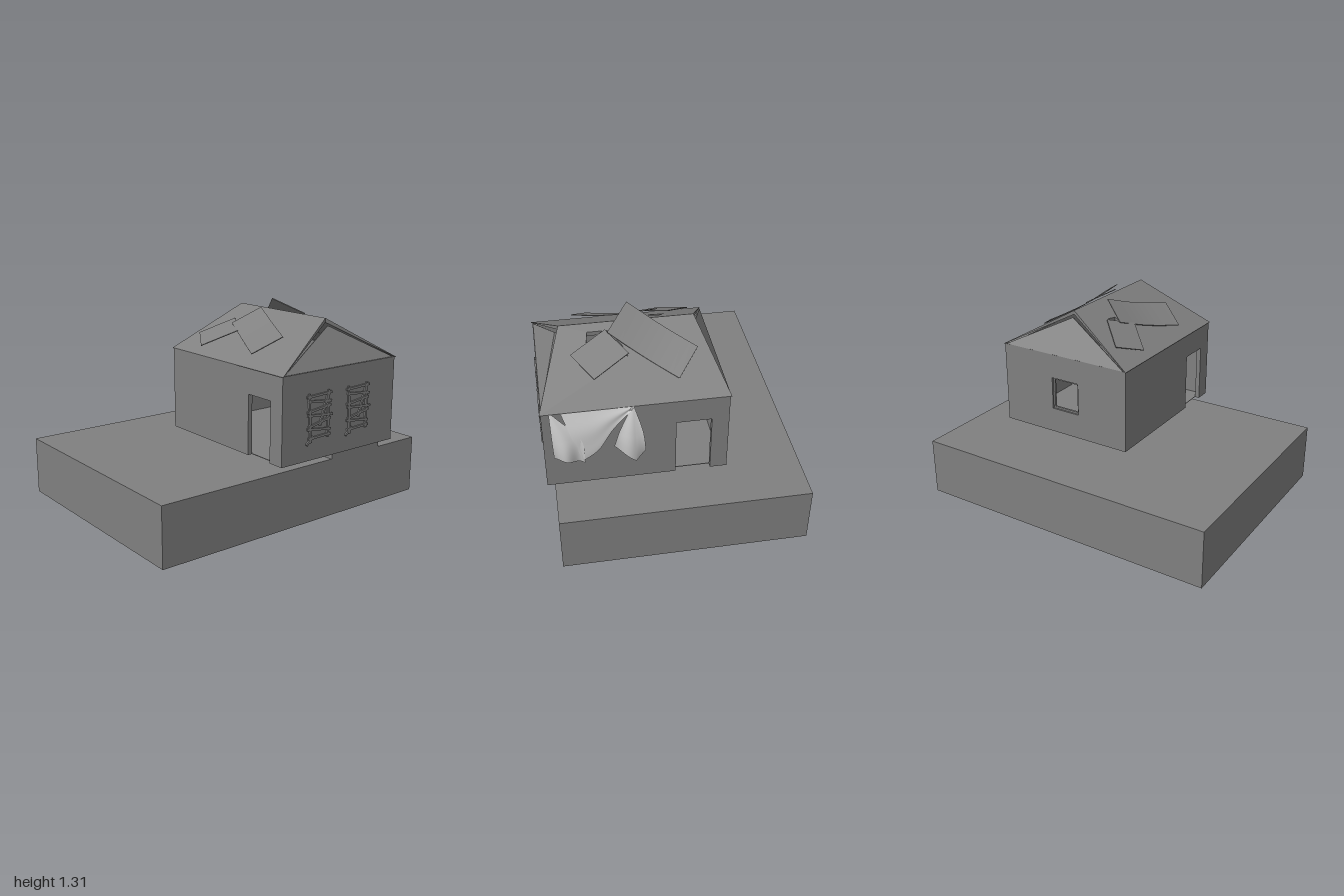
import * as THREE from 'three';

const mat = new THREE.MeshStandardMaterial({ color: 0x808080 });
const fabric = new THREE.MeshStandardMaterial({ color: 0xcccccc, side: THREE.DoubleSide });

// House limits
const X0 = -0.2, X1 = 0.73, Z0 = -0.313, Z1 = 0.77, FLOOR = 0.42, EAVE = 0.96;
const RIDGE_X = 0.265, RIDGE_Y = 1.23, PITCH = 0.575, WALL = 0.03;

function add(parent, name, geometry, material = mat) {
  const mesh = new THREE.Mesh(geometry, material);
  mesh.name = name;
  parent.add(mesh);
  return mesh;
}

// Box given by its limits
function block(parent, name, x0, x1, y0, y1, z0, z1) {
  const mesh = add(parent, name, new THREE.BoxGeometry(x1 - x0, y1 - y0, z1 - z0));
  mesh.position.set((x0 + x1) / 2, (y0 + y1) / 2, (z0 + z1) / 2);
}

const polygon = (points) => new THREE.Shape(points.map(([a, b]) => new THREE.Vector2(a, b)));
const rectangle = (a0, a1, b0, b1) => [[a0, b0], [a1, b0], [a1, b1], [a0, b1]];

// Upright wall outline extruded to the wall thickness
function wall(parent, name, outline, hole) {
  const shape = polygon(outline);
  if (hole) shape.holes.push(polygon(hole));
  return add(parent, name, new THREE.ExtrudeGeometry(shape, { depth: WALL, bevelEnabled: false }));
}

// One roof slope: plan outline (distance from ridge, z) dropped onto the pitch, cut level at the eave
function roofSlope(parent, name, side, hole) {
  const t = 0.026;
  const shape = polygon([[0, -0.18], [0.47, -0.32], [0.47, 0.778], [0, 0.622]]);
  shape.holes.push(polygon(hole));
  const geo = new THREE.ExtrudeGeometry(shape, { depth: t, bevelEnabled: false });
  const p = geo.attributes.position;
  for (let i = 0; i < p.count; i++) {
    const d = p.getX(i), z = p.getY(i), depth = p.getZ(i);
    const y = RIDGE_Y - PITCH * d - (side > 0 ? depth : t - depth);
    p.setXYZ(i, RIDGE_X + side * d, Math.max(y, 0.956), z);
  }
  geo.computeVertexNormals();
  add(parent, name, geo);
}

// Loose sheet spanned by a corner and its two neighbours, sagging along the second edge
function sheet(parent, corner, nextA, nextB, sag) {
  const o = new THREE.Vector3(...corner);
  const a = new THREE.Vector3(...nextA).sub(o), b = new THREE.Vector3(...nextB).sub(o);
  const n = a.clone().cross(b).normalize();
  const geo = new THREE.BoxGeometry(1, 1, 0.005, 1, 10, 1);
  const p = geo.attributes.position;
  for (let i = 0; i < p.count; i++) {
    const v = p.getY(i) + 0.5;
    const q = o.clone().addScaledVector(a, p.getX(i) + 0.5).addScaledVector(b, v)
      .addScaledVector(n, p.getZ(i) - sag * Math.sin(v * Math.PI));
    p.setXYZ(i, q.x, q.y, q.z);
  }
  geo.computeVertexNormals();
  add(parent, 'looseRoofSheet', geo);
}

// Cloth stretched between two edge curves of [z, y] points; bulge gives its distance off the wall, hem lowers its foot
function cloth(parent, name, edgeA, edgeB, bulge, hem = () => 0) {
  const curve = (pts) => new THREE.CatmullRomCurve3(pts.map(([z, y]) => new THREE.Vector3(0, y, z)));
  const A = curve(edgeA), B = curve(edgeB), n = 28;
  const geo = new THREE.PlaneGeometry(1, 1, n, n);
  const p = geo.attributes.position;
  for (let i = 0; i < p.count; i++) {
    const u = p.getX(i) + 0.5, v = 0.5 - p.getY(i);
    const q = A.getPoint(v).lerp(B.getPoint(v), u);
    p.setXYZ(i, X1 + 0.004 + bulge(u, v), q.y - v * v * hem(u), q.z);
  }
  geo.computeVertexNormals();
  add(parent, name, geo, fabric);
}

export function createModel() {
  const model = new THREE.Group();
  model.name = 'abandonedHouse';

  // Ground and step
  block(model, 'groundBlock', -1, 1, 0, 0.37, -0.78, 0.725);
  block(model, 'frontStep', 0.25, 0.66, 0.37, FLOOR, 0.45, 0.73);

  // Walls and floor
  const house = new THREE.Group();
  house.name = 'house';
  model.add(house);
  block(house, 'floor', X0 + WALL, X1 - WALL, FLOOR, FLOOR + 0.004, Z0 + WALL, Z1 - WALL);
  wall(house, 'frontWall', rectangle(X0, X1, FLOOR, EAVE)).position.z = Z1 - WALL;
  wall(house, 'backWall', rectangle(X0, X1, FLOOR, EAVE), rectangle(0.155, 0.355, 0.585, 0.8)).position.z = Z0;
  for (const [name, x, d0, d1] of [['leftWall', X1, -0.21, 0], ['rightWall', X0 + WALL, 0.465, 0.665]]) {
    const a = Z0 + WALL, b = Z1 - WALL;
    const side = wall(house, name, [[a, FLOOR], [d0, FLOOR], [d0, 0.8], [d1, 0.8], [d1, FLOOR], [b, FLOOR], [b, EAVE], [a, EAVE]]);
    side.rotation.y = -Math.PI / 2;
    side.position.x = x;
  }

  // Back window frame
  for (const x of [0.155, 0.343]) block(house, 'windowStile', x, x + 0.012, 0.585, 0.8, Z0 + 0.012, Z0 + 0.026);
  for (const y of [0.585, 0.788]) block(house, 'windowRail', 0.155, 0.355, y, y + 0.012, Z0 + 0.012, Z0 + 0.026);

  // Roof slopes with broken openings
  const roof = new THREE.Group();
  roof.name = 'roof';
  model.add(roof);
  roofSlope(roof, 'leftRoofSlope', 1, [[0.05, 0.34], [0.13, 0.27], [0.2, 0.24], [0.18, 0.38], [0.11, 0.47], [0.05, 0.46]]);
  roofSlope(roof, 'rightRoofSlope', -1, [[0.14, 0], [0.2, -0.04], [0.22, 0.06], [0.15, 0.06]]);

  // Leaning gables, leaving a narrow gap under the roof edges
  for (const [name, z, turn] of [['frontGable', 0.764, 0], ['backGable', -0.314, Math.PI]]) {
    const holder = new THREE.Group();
    holder.name = name;
    holder.position.set(RIDGE_X, 0.956, z);
    holder.rotation.y = turn;
    const shape = polygon([[-0.45, 0], [0.45, 0], [0, 0.257]]);
    const panel = add(holder, name + 'Panel', new THREE.ExtrudeGeometry(shape, { depth: 0.012, bevelEnabled: false }));
    panel.rotation.x = -0.5;
    panel.position.z = -0.008;
    roof.add(holder);
  }

  // Loose sheets on both slopes
  sheet(roof, [0.196, 1.31, 0.21], [0.355, 1.215, 0.345], [0.46, 1.13, -0.17], 0.015);
  sheet(roof, [0.32, 1.212, 0.355], [0.445, 1.143, 0.57], [0.465, 1.133, 0.235], 0);
  sheet(roof, [0.2, 1.24, 0.1], [0.04, 1.14, 0], [0.01, 1.13, 0.53], 0.015);
  sheet(roof, [-0.065, 1.06, -0.21], [-0.17, 1.01, -0.05], [0.105, 1.16, -0.05], 0);

  // Boards nailed across the two front windows: x, y, length, tilt
  const boards = [
    [0.085, 0.815, 0.2, 0.04], [0.09, 0.775, 0.19, -0.1], [0.085, 0.73, 0.19, 0.12],
    [0.095, 0.69, 0.2, -0.08], [0.09, 0.645, 0.18, 0.2], [0.085, 0.605, 0.19, -0.12], [0.09, 0.56, 0.18, 0.04],
    [0.012, 0.68, 0.3, 1.63], [0.16, 0.69, 0.29, 1.57], [0.125, 0.72, 0.2, 1.25], [0.015, 0.545, 0.07, 0.7],
  ];
  for (const shift of [0, 0.323]) {
    const windowBoards = new THREE.Group();
    windowBoards.name = 'boardedWindow';
    windowBoards.position.set(shift, 0, Z1);
    boards.forEach(([x, y, length, tilt]) => {
      const board = add(windowBoards, 'board', new THREE.BoxGeometry(length, 0.014, 0.016));
      board.position.set(x, y, 0.002);
      board.rotation.z = tilt;
    });
    model.add(windowBoards);
  }

  // Torn curtain hanging on the left wall
  const curtain = new THREE.Group();
  curtain.name = 'tornCurtain';
  model.add(curtain);
  const drape = (u, v, count) => 0.05 * Math.sin(v * 2.1) + 0.013 * v * (1 - Math.cos(u * count * Math.PI * 2));
  cloth(curtain, 'frontDrape',
    [[0.725, 0.96], [0.72, 0.8], [0.715, 0.67]],
    [[0.71, 0.96], [0.555, 0.79], [0.54, 0.62]],
    (u, v) => drape(u, v, 1.2));
  cloth(curtain, 'swag',
    [[0.66, 0.96], [0.52, 0.96], [0.39, 0.96], [0.25, 0.96]],
    [[0.55, 0.635], [0.46, 0.7], [0.37, 0.83], [0.25, 0.95]],
    (u, v) => 0.05 * Math.sin(u * 2.1) * (1 - v * v) + 0.004 * u * (1 - Math.cos(u * 9)));
  cloth(curtain, 'rearDrape',
    [[0.26, 0.96], [0.34, 0.81], [0.37, 0.715]],
    [[0.245, 0.96], [0.2, 0.8], [0.185, 0.66]],
    (u, v) => drape(u, v, 1),
    (u) => 0.078 * Math.min(u / 0.68, (1 - u) / 0.32));

  return model;
}
